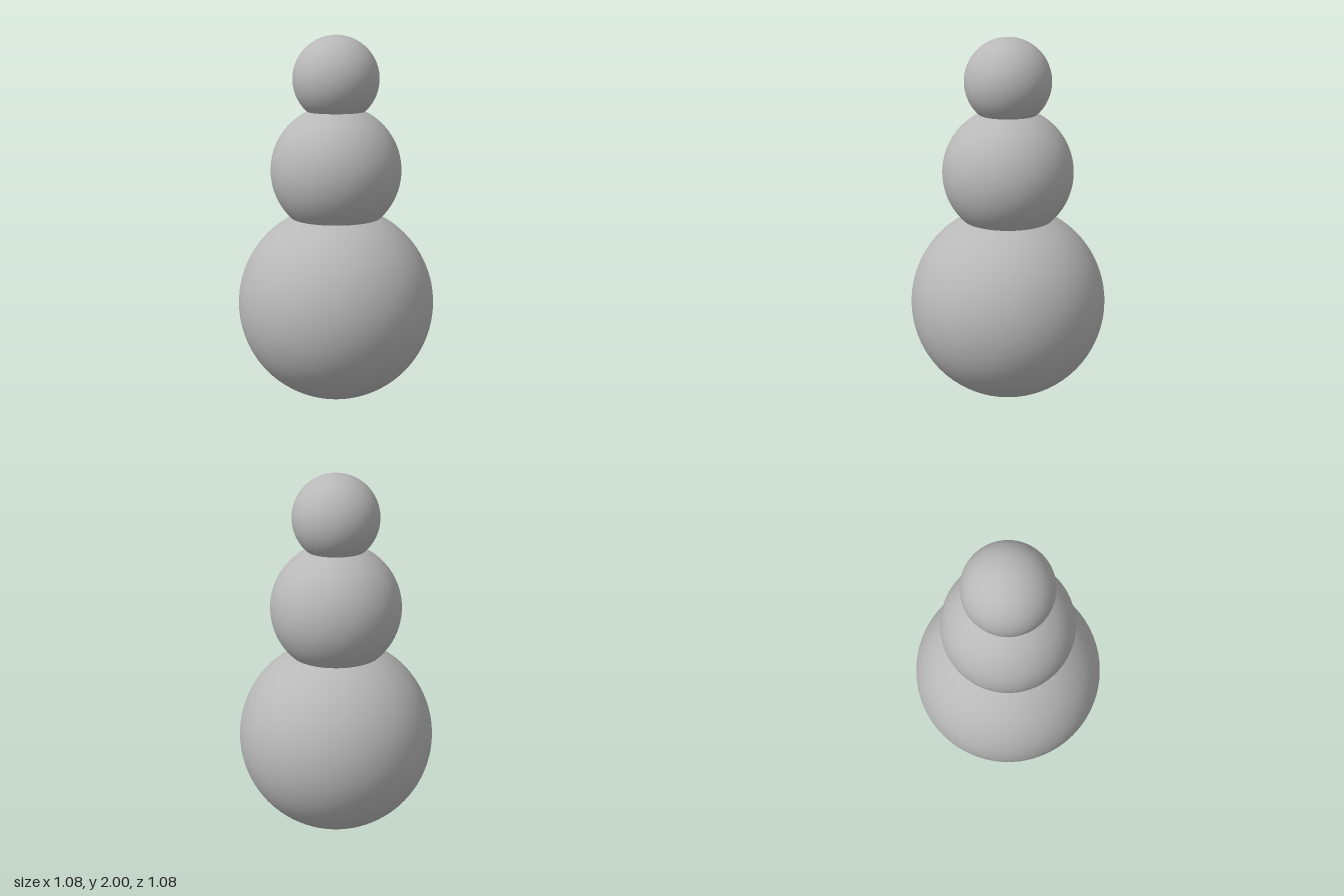
import * as THREE from 'three';

export function createModel() {
  const model = new THREE.Group();
  model.name = 'snowman';

  const grey = new THREE.MeshStandardMaterial({ color: 0xb8b8b8 });
  grey.name = 'plain grey';

  // Three overlapping balls stacked from the ground up: name, radius, centre height
  const balls = [
    ['base', 0.538, 0.538],
    ['torso', 0.355, 1.275],
    ['head', 0.233, 1.767],
  ];
  for (const [name, radius, height] of balls) {
    const ball = new THREE.Mesh(new THREE.SphereGeometry(radius, 96, 64), grey);
    ball.name = name;
    ball.position.y = height;
    model.add(ball);
  }
  return model;
}
